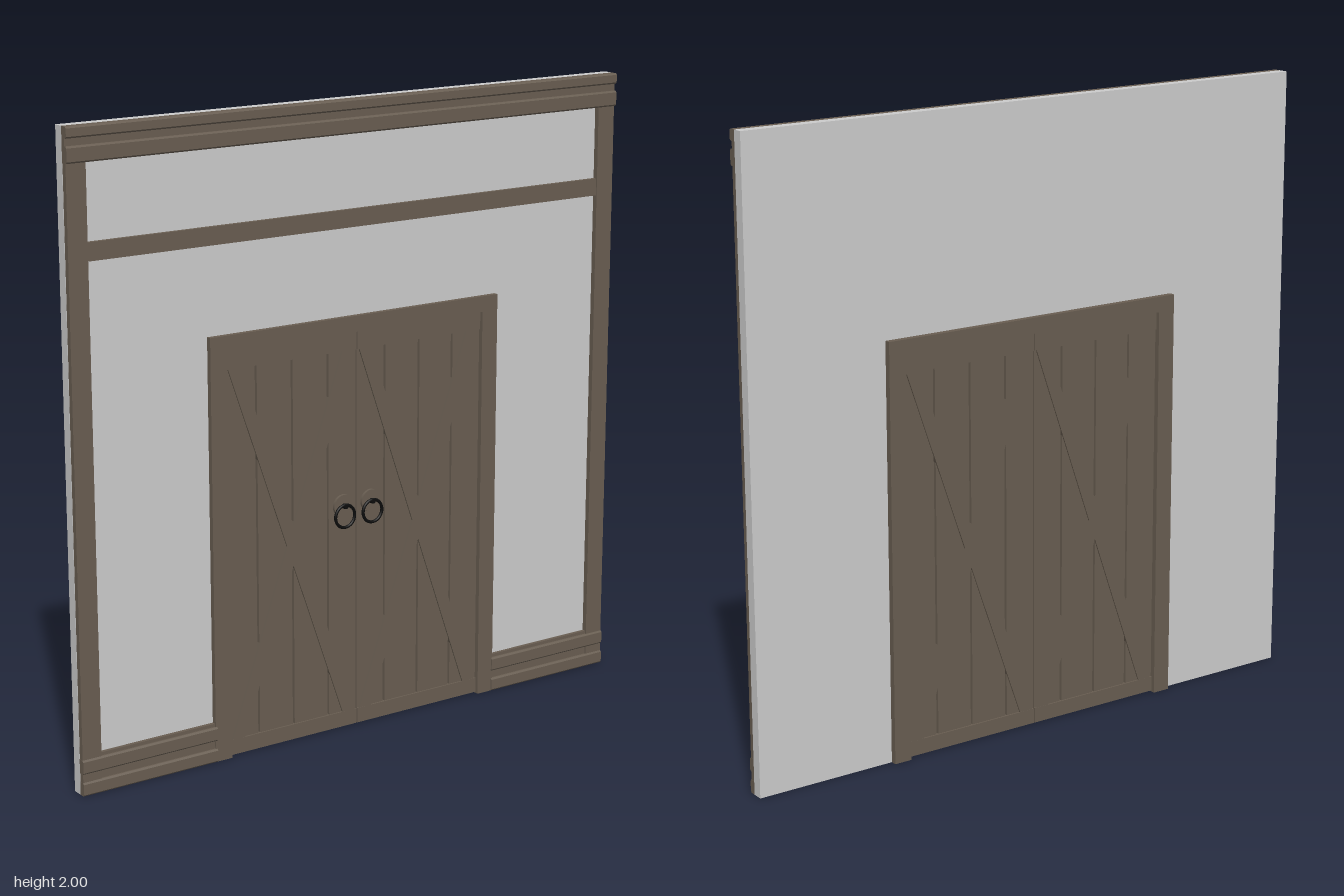
import * as THREE from 'three';

const wood = new THREE.MeshStandardMaterial({ color: 0x685d51 });
wood.name = 'brown wood';
const plaster = new THREE.MeshStandardMaterial({ color: 0xcbcbcb });
plaster.name = 'pale plaster';
const iron = new THREE.MeshStandardMaterial({ color: 0x0c0c0c });
iron.name = 'black iron';

function add(parent, name, geometry, material = wood) {
  const mesh = new THREE.Mesh(geometry, material);
  mesh.name = name;
  parent.add(mesh);
  return mesh;
}

// Box given by its limits on each axis
function block(parent, name, [x0, x1], [y0, y1], [z0, z1], material = wood) {
  const mesh = add(parent, name, new THREE.BoxGeometry(x1 - x0, y1 - y0, z1 - z0), material);
  mesh.position.set((x0 + x1) / 2, (y0 + y1) / 2, (z0 + z1) / 2);
  return mesh;
}

// Flat outline extruded between two depths
function plate(parent, name, points, [z0, z1], material = wood) {
  const shape = new THREE.Shape(points.map(([x, y]) => new THREE.Vector2(x, y)));
  const geometry = new THREE.ExtrudeGeometry(shape, { depth: z1 - z0, bevelEnabled: false });
  geometry.translate(0, 0, z0);
  return add(parent, name, geometry, material);
}

// Horizontal moulding with softened front edges
function moulding(parent, name, [x0, x1], [y0, y1], [z0, z1]) {
  const c = 0.005;
  const shape = new THREE.Shape([
    [-z0, y0], [-z0, y1], [-z1 + c, y1], [-z1, y1 - c], [-z1, y0 + c], [-z1 + c, y0],
  ].map(([x, y]) => new THREE.Vector2(x, y)));
  const geometry = new THREE.ExtrudeGeometry(shape, { depth: x1 - x0, bevelEnabled: false });
  geometry.rotateY(Math.PI / 2).translate(x0, 0, 0);
  return add(parent, name, geometry);
}

// One door leaf: planks with slots between, rails and a cross brace
function doorLeaf(side) {
  const leaf = new THREE.Group();
  leaf.name = side > 0 ? 'leftDoorLeaf' : 'rightDoorLeaf';
  const span = (a, b) => (side > 0 ? [a, b] : [-b, -a]);
  const seams = [0.002, 0.107, 0.238, 0.367, 0.476];
  const gap = 0.0035;
  for (let i = 0; i < 4; i++) {
    const a = seams[i] + (i > 0 ? gap : 0);
    const b = seams[i + 1] - (i < 3 ? gap : 0);
    block(leaf, 'plank', span(a, b), [0.05, 1.23], [-0.022, 0.015]);
  }
  block(leaf, 'bottomRail', span(0.002, 0.476), [0.004, 0.053], [-0.027, 0.02]);
  block(leaf, 'topRail', span(0.002, 0.476), [1.227, 1.285], [-0.027, 0.02]);
  for (const lean of [-1, 1]) {
    const cx = side * 0.238, run = lean * 0.207, half = 0.023;
    plate(leaf, 'crossBrace', [
      [cx - run - half, 0.05], [cx - run + half, 0.05],
      [cx + run + half, 1.23], [cx + run - half, 1.23],
    ], [-0.0265, 0.0195]);
  }
  // Ring handle on a round backplate
  const handle = new THREE.Group();
  handle.name = 'ringHandle';
  handle.position.set(side * 0.052, 0.735, 0);
  const disc = add(handle, 'backplate', new THREE.CylinderGeometry(0.036, 0.036, 0.01, 24));
  disc.rotation.x = Math.PI / 2;
  disc.position.z = 0.019;
  const boss = add(handle, 'boss', new THREE.CylinderGeometry(0.007, 0.009, 0.016, 12), iron);
  boss.rotation.x = Math.PI / 2;
  boss.position.z = 0.03;
  const ring = add(handle, 'ring', new THREE.TorusGeometry(0.036, 0.005, 8, 28), iron);
  ring.position.set(0, -0.032, 0.03);
  leaf.add(handle);
  return leaf;
}

export function createModel() {
  const model = new THREE.Group();
  model.name = 'doorWall';

  // Wall with the doorway cut out
  plate(model, 'wall', [
    [-1, 0], [-0.5, 0], [-0.5, 1.31], [0.5, 1.31], [0.5, 0], [1, 0], [1, 2], [-1, 2],
  ], [-0.02, 0.014], plaster);

  // Front timber trim
  block(model, 'middleRail', [-0.935, 0.935], [1.61, 1.665], [0.014, 0.027]);
  block(model, 'topBoard', [-1, 1], [1.9, 1.998], [0.014, 0.029]);
  moulding(model, 'lowerCornice', [-1, 1], [1.895, 1.944], [0.014, 0.04]);
  moulding(model, 'upperCornice', [-1, 1], [1.966, 2], [0.014, 0.04]);
  for (const s of [-1, 1]) {
    const span = (a, b) => (s > 0 ? [a, b] : [-b, -a]);
    block(model, 'post', span(0.935, 0.999), [0.001, 1.9], [0.014, 0.031]);
    block(model, 'baseboard', span(0.53, 0.998), [0.002, 0.124], [0.014, 0.026]);
    moulding(model, 'lowerSkirting', span(0.53, 1), [0, 0.043], [0.014, 0.036]);
    moulding(model, 'upperSkirting', span(0.53, 1), [0.069, 0.114], [0.014, 0.036]);
  }

  // Door frame passing through the wall
  plate(model, 'doorFrame', [
    [-0.535, 0], [-0.476, 0], [-0.476, 1.285], [0.476, 1.285],
    [0.476, 0], [0.535, 0], [0.535, 1.335], [-0.535, 1.335],
  ], [-0.04, 0.031]);

  model.add(doorLeaf(1), doorLeaf(-1));
  return model;
}
